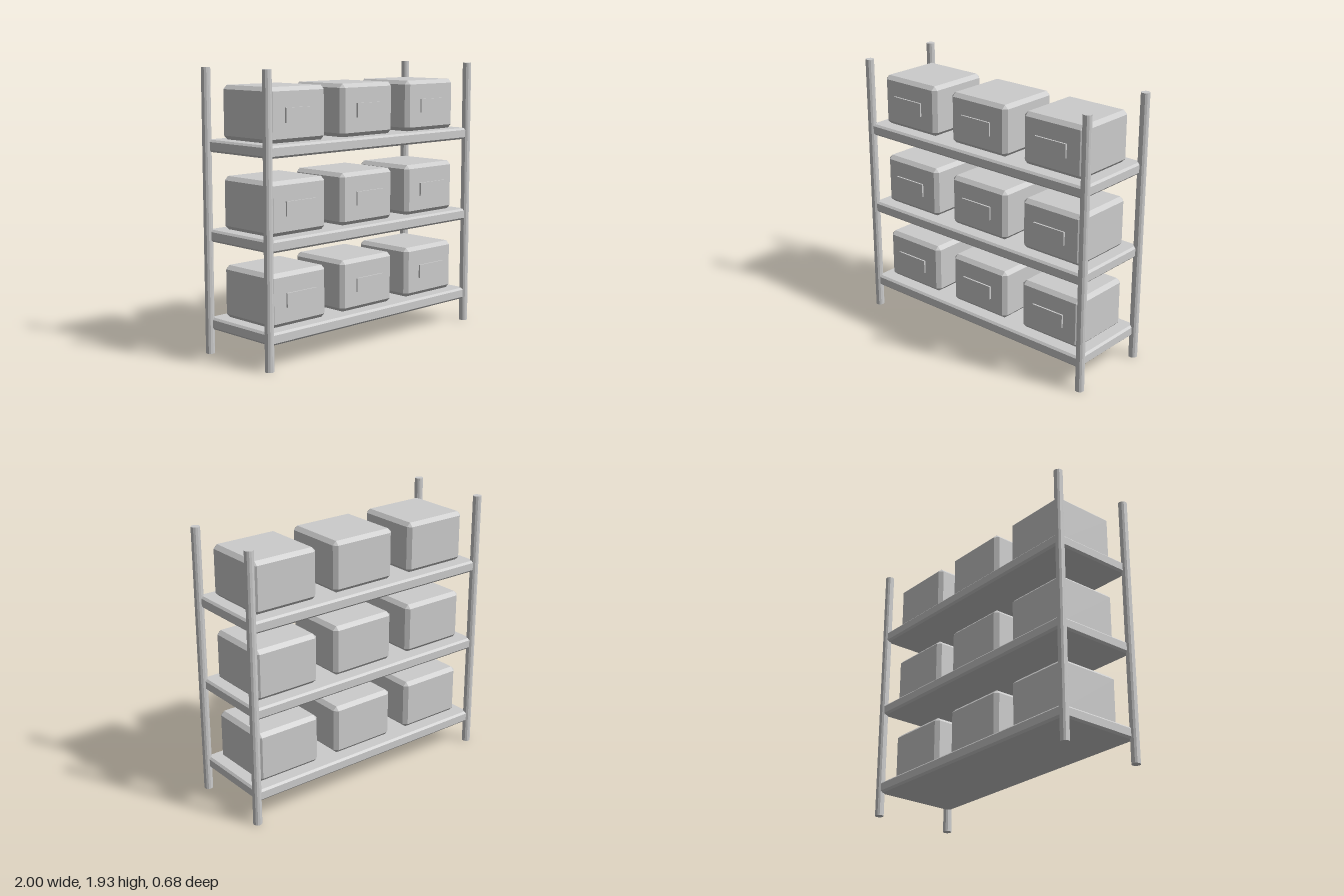
import * as THREE from 'three';
import { ConvexGeometry } from 'three/addons/geometries/ConvexGeometry.js';

// Box with every edge cut by a flat chamfer
function chamferBox(w, h, d, c) {
  const points = [];
  for (const sx of [-1, 1]) for (const sy of [-1, 1]) for (const sz of [-1, 1]) {
    const x = sx * w / 2, y = sy * h / 2, z = sz * d / 2;
    points.push(
      new THREE.Vector3(x, y - sy * c, z - sz * c),
      new THREE.Vector3(x - sx * c, y, z - sz * c),
      new THREE.Vector3(x - sx * c, y - sy * c, z)
    );
  }
  return new ConvexGeometry(points);
}

export function createModel() {
  const group = new THREE.Group();
  const grey = new THREE.MeshStandardMaterial({ color: 0xcccccc });
  grey.name = 'grey';

  const add = (name, geometry, x, y, z) => {
    const mesh = new THREE.Mesh(geometry, grey);
    mesh.name = name;
    mesh.position.set(x, y, z);
    group.add(mesh);
  };

  // Four faceted corner posts
  const height = 1.935;
  const postGeometry = new THREE.CylinderGeometry(0.031, 0.031, height, 12).toNonIndexed();
  postGeometry.computeVertexNormals();
  for (const x of [-0.969, 0.969]) for (const z of [-0.307, 0.307]) {
    add('post', postGeometry, x, height / 2, z);
  }

  // Three shelves, each with three bins and their front labels
  const shelfGeometry = chamferBox(1.938, 0.082, 0.645, 0.014);
  const binGeometry = chamferBox(0.5, 0.36, 0.484, 0.027);
  const labelGeometry = new THREE.BoxGeometry(0.258, 0.096, 0.012);
  for (let level = 0; level < 3; level++) {
    const y = 0.208 + level * 0.604;
    add('shelf', shelfGeometry, 0, y, 0);
    for (const x of [-0.646, 0, 0.646]) {
      add('bin', binGeometry, x, y + 0.222, 0);
      add('label', labelGeometry, x, y + 0.222, 0.262);
    }
  }
  return group;
}
